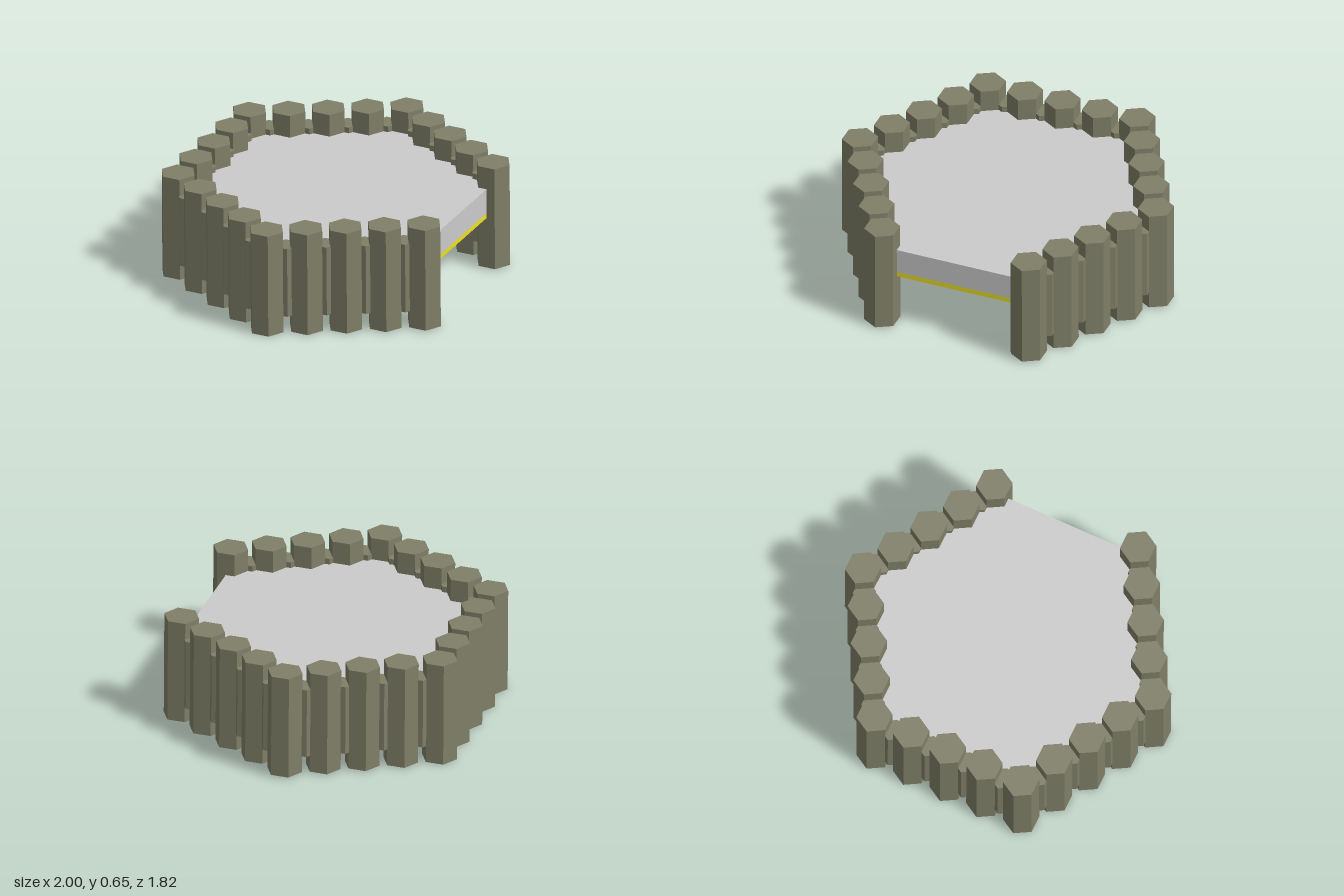
import * as THREE from 'three';

// Hexagon corners as [x, z]; the last side, back to the first corner, is left open
const CORNERS = [
  [0.46, 0.79], [-0.447, 0.802], [-0.907, 0.003],
  [-0.445, -0.805], [0.462, -0.797], [0.909, -0.003],
];
const SPACES = 4;

export function createModel() {
  const model = new THREE.Group();
  model.name = 'hexagonalPalisade';

  const wood = new THREE.MeshStandardMaterial({ color: 0x7f7f68, flatShading: true });
  const grey = new THREE.MeshStandardMaterial({ color: 0xcccccc, flatShading: true });
  const yellow = new THREE.MeshStandardMaterial({ color: 0xebe026, flatShading: true });

  const add = (name, geometry, material, x, y, z) => {
    const mesh = new THREE.Mesh(geometry, material);
    mesh.name = name;
    mesh.position.set(x, y, z);
    model.add(mesh);
  };

  // Six-sided posts with shorter, slimmer connectors between them
  const post = new THREE.CylinderGeometry(0.105, 0.105, 0.635, 6);
  const connector = new THREE.CylinderGeometry(0.068, 0.068, 0.43, 6);
  const last = CORNERS.length - 1;
  for (let side = 0; side < last; side++) {
    const [ax, az] = CORNERS[side];
    const [bx, bz] = CORNERS[side + 1];
    const at = (t) => [ax + (bx - ax) * t, az + (bz - az) * t];
    for (let i = 0; i < SPACES; i++) {
      const [px, pz] = at(i / SPACES);
      add('post', post, wood, px, 0.324, pz);
      const [cx, cz] = at((i + 0.5) / SPACES);
      add('connector', connector, wood, cx, 0.325, cz);
    }
  }
  add('post', post, wood, CORNERS[last][0], 0.324, CORNERS[last][1]);

  // Floor in two layers, cut along the post centre lines
  const outline = new THREE.Shape(CORNERS.map(([x, z]) => new THREE.Vector2(x, -z)));
  const layer = (depth) =>
    new THREE.ExtrudeGeometry(outline, { depth, bevelEnabled: false }).rotateX(-Math.PI / 2);
  add('floorUnderside', layer(0.03), yellow, 0, 0.322, 0);
  add('floorSlab', layer(0.153), grey, 0, 0.352, 0);

  // The whole piece leans very slightly
  model.rotation.z = 0.006;
  return model;
}
